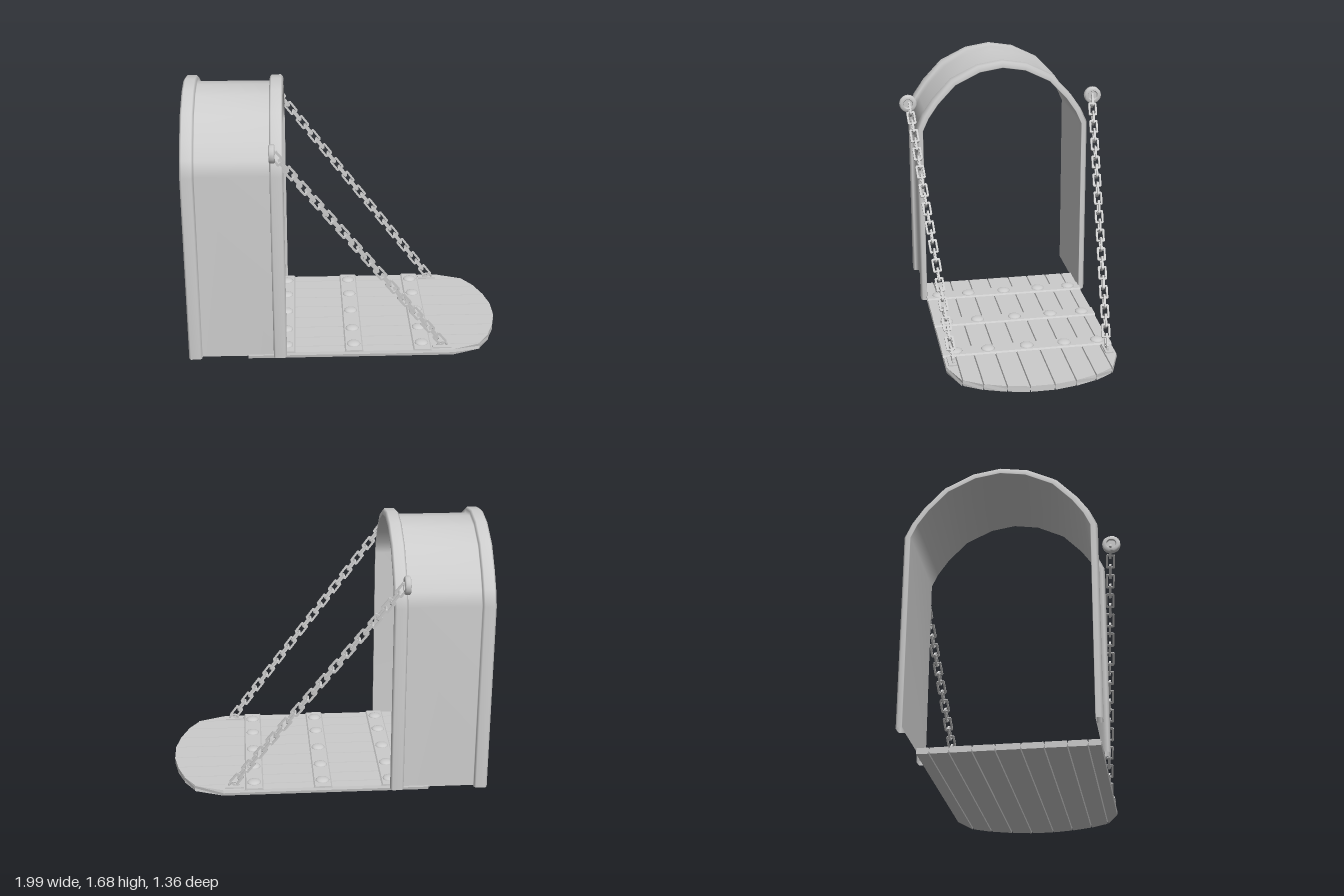
import * as THREE from 'three';
import { toCreasedNormals } from 'three/addons/utils/BufferGeometryUtils.js';

const material = new THREE.MeshStandardMaterial({ color: 0xcccccc });
const thin = new THREE.MeshStandardMaterial({ color: 0xcccccc, side: THREE.DoubleSide });

function add(parent, name, geometry, x = 0, y = 0, z = 0, mat = material) {
  const mesh = new THREE.Mesh(geometry, mat);
  mesh.name = name;
  mesh.position.set(x, y, z);
  parent.add(mesh);
  return mesh;
}

// Arch path as [z, y], one half then mirrored
const half = [[0.535, 0.02], [0.535, 1.235], [0.496, 1.319], [0.431, 1.413], [0.315, 1.536], [0.151, 1.616]];
const archPath = [...half, [0, 1.64], ...half.slice().reverse().map(([z, y]) => [-z, y])];

// Sweeps a closed section of [x, outward offset] points along the arch
function sweepArch(section) {
  const positions = [], index = [], n = section.length, last = archPath.length - 1;
  archPath.forEach(([z, y], i) => {
    const dir = (a, b) => new THREE.Vector2(archPath[b][0] - archPath[a][0], archPath[b][1] - archPath[a][1]).normalize();
    const before = dir(Math.max(i - 1, 0), Math.max(i, 1));
    const after = dir(Math.min(i, last - 1), Math.min(i + 1, last));
    const t = before.clone().add(after).normalize();
    const miter = 1 / t.dot(after);
    for (const [x, out] of section) positions.push(x, y - t.x * out * miter, z + t.y * out * miter);
  });
  for (let i = 0; i < last; i++) {
    for (let j = 0; j < n; j++) {
      const a = i * n + j, b = i * n + (j + 1) % n, c = a + n, d = b + n;
      index.push(a, b, c, b, d, c);
    }
  }
  const g = new THREE.BufferGeometry();
  g.setAttribute('position', new THREE.Float32BufferAttribute(positions, 3));
  g.setIndex(index);
  g.computeVertexNormals();
  return g;
}

// Rounded far end of the deck: x for a given z
const tip = [[0, 0.996], [0.075, 0.993], [0.21, 0.967], [0.345, 0.92], [0.462, 0.85], [0.54, 0.67]];
function tipX(z) {
  const a = Math.abs(z);
  const i = Math.max(1, tip.findIndex(p => p[0] >= a - 1e-6));
  const [z0, x0] = tip[i - 1], [z1, x1] = tip[i];
  return x0 + (x1 - x0) * (a - z0) / (z1 - z0);
}

// Plank whose upper and lower edges draw in, leaving V grooves along the seams
function plank(z0, z1) {
  const s = new THREE.Shape([[-0.63, z0], [tipX(z0), z0], [tipX(z1), z1], [-0.63, z1]].map(p => new THREE.Vector2(...p)));
  const g = new THREE.ExtrudeGeometry(s, { depth: 0.038, steps: 2, bevelEnabled: false });
  g.rotateX(Math.PI / 2).translate(0, 0.038, 0);
  const p = g.attributes.position, middle = (z0 + z1) / 2;
  for (let i = 0; i < p.count; i++) {
    if (Math.abs(p.getY(i) - 0.019) > 0.01) p.setZ(i, p.getZ(i) + Math.sign(middle - p.getZ(i)) * 0.004);
  }
  return toCreasedNormals(g, 0.1);
}

// Strap across the deck with sloping long sides
function strapGeometry() {
  const s = new THREE.Shape([[-0.061, 0.035], [0.061, 0.035], [0.05, 0.047], [-0.05, 0.047]].map(p => new THREE.Vector2(...p)));
  return new THREE.ExtrudeGeometry(s, { depth: 1.08, bevelEnabled: false }).translate(0, 0, -0.54);
}

// Chamfered rectangular ring, long along y
function linkGeometry() {
  const trace = (path, w, h, c) => {
    [[w - c, -h], [w, -h + c], [w, h - c], [w - c, h], [c - w, h], [-w, h - c], [-w, c - h], [c - w, -h]]
      .forEach(([x, y], i) => (i ? path.lineTo(x, y) : path.moveTo(x, y)));
    path.closePath();
    return path;
  };
  const s = trace(new THREE.Shape(), 0.028, 0.045, 0.006);
  s.holes.push(trace(new THREE.Path(), 0.016, 0.033, 0.003));
  return new THREE.ExtrudeGeometry(s, { depth: 0.013, bevelEnabled: false }).translate(0, 0, -0.0065);
}

function buildChain(side, link) {
  const chain = new THREE.Group();
  chain.name = side > 0 ? 'leftChain' : 'rightChain';

  // Wall ring with a recessed centre on both faces
  const rim = [[0, -0.008], [0.028, -0.008], [0.033, -0.018], [0.05, -0.018], [0.057, -0.011]];
  const ring = [...rim, ...rim.slice().reverse().map(([r, y]) => [r, -y])].map(([r, y]) => new THREE.Vector2(r, y));
  const ringGeometry = toCreasedNormals(new THREE.LatheGeometry(ring, 20).rotateZ(-Math.PI / 2), 0.9);
  add(chain, 'wallRing', ringGeometry, -0.45, 1.412, side * 0.623);

  // Links, alternately turned a quarter about the chain line
  const start = new THREE.Vector3(-0.44, 1.405, side * 0.617);
  const end = new THREE.Vector3(0.605, 0.065, side * 0.49);
  const along = end.clone().sub(start).normalize();
  const across = new THREE.Vector3(0, 0, 1).addScaledVector(along, -along.z).normalize();
  const basis = new THREE.Matrix4().makeBasis(along.clone().cross(across), along, across);
  const count = 27;
  for (let i = 0; i < count; i++) {
    const mesh = add(chain, 'chainLink', link);
    mesh.position.lerpVectors(start, end, (i + 0.5) / count);
    mesh.quaternion.setFromRotationMatrix(basis);
    mesh.rotateY((i % 2) * Math.PI / 2);
  }

  // Deck anchor: plate and staple
  add(chain, 'anchorPlate', new THREE.BoxGeometry(0.12, 0.012, 0.05), 0.6, 0.041, side * 0.495);
  add(chain, 'anchorStaple', new THREE.TorusGeometry(0.03, 0.007, 6, 10, Math.PI), 0.605, 0.042, side * 0.49);
  return chain;
}

export function createModel() {
  const model = new THREE.Group();
  model.name = 'drawbridge';

  // Archway: one smooth shell with a raised trim along each end
  const trim = x => [[x, 0.003], [x, 0.028], [x + 0.012, 0.04], [x + 0.071, 0.04], [x + 0.083, 0.028], [x + 0.083, 0.003]];
  const section = [[-1, 0], ...trim(-1), ...trim(-0.468), [-0.385, 0]];
  add(model, 'archway', sweepArch(section), 0, 0, 0, thin);

  // Deck planks
  const deck = new THREE.Group();
  deck.name = 'deck';
  model.add(deck);
  const seams = [-0.54, -0.462, -0.345, -0.21, -0.075, 0.075, 0.21, 0.345, 0.462, 0.54];
  for (let i = 0; i < seams.length - 1; i++) add(deck, 'plank', plank(seams[i], seams[i + 1]));

  // Cross straps with domed rivets
  const strap = strapGeometry();
  const dome = new THREE.SphereGeometry(0.044, 16, 6, 0, Math.PI * 2, 0, Math.PI / 2).scale(1, 0.42, 1);
  for (const x of [-0.39, 0.04, 0.475]) {
    add(deck, 'strap', strap, x);
    for (const z of [-0.458, -0.243, 0, 0.248, 0.455]) add(deck, 'rivet', dome, x, 0.046, z);
  }

  // Chains on both sides
  const link = linkGeometry();
  for (const side of [1, -1]) model.add(buildChain(side, link));
  return model;
}
